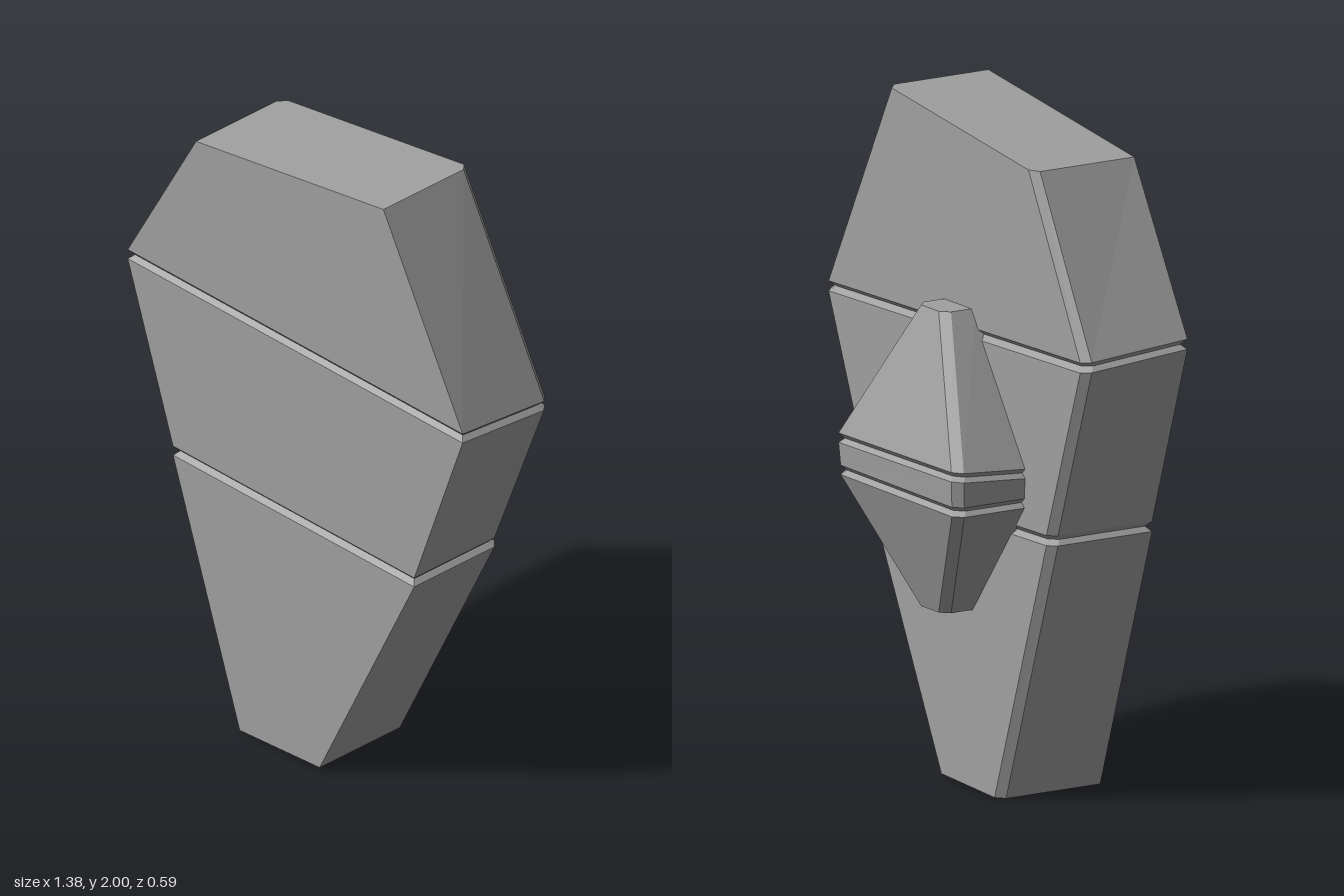
import * as THREE from 'three';

const stone = new THREE.MeshStandardMaterial({ color: 0xa0a0a0, flatShading: true });
stone.name = 'stone grey';

// Cross-section: a rectangle with its two back corners bevelled.
// yl / yr are the heights at the two ends, slope tilts it along z.
function ring({ xl, xr, yl, yr, zf, zb, c = 0.024, slope = 0 }, inset = 0, lift = 0) {
  const l = xl + inset, r = xr - inset, f = zf - inset, b = zb + inset;
  const corners = [[l, f], [r, f], [r, b + c], [r - c, b], [l + c, b], [l, b + c]];
  return corners.map(([x, z]) => {
    const t = (x - xl) / (xr - xl);
    return new THREE.Vector3(x, yl + (yr - yl) * t + slope * (z - zf) + lift, z);
  });
}

// Skin between successive cross-sections, with optional end caps
function loft(name, rings, capBottom, capTop) {
  const pos = [];
  const tri = (...v) => v.forEach(p => pos.push(p.x, p.y, p.z));
  for (let k = 0; k < rings.length - 1; k++) {
    const a = rings[k], b = rings[k + 1], n = a.length;
    for (let i = 0; i < n; i++) {
      const j = (i + 1) % n;
      tri(a[i], a[j], b[j]);
      tri(a[i], b[j], b[i]);
    }
  }
  const first = rings[0], last = rings[rings.length - 1];
  for (let i = 1; i < first.length - 1; i++) {
    if (capBottom) tri(first[0], first[i + 1], first[i]);
    if (capTop) tri(last[0], last[i], last[i + 1]);
  }
  const geo = new THREE.BufferGeometry();
  geo.setAttribute('position', new THREE.Float32BufferAttribute(pos, 3));
  geo.computeVertexNormals();
  const mesh = new THREE.Mesh(geo, stone);
  mesh.name = name;
  return mesh;
}

// V-shaped groove: lower lip, bottom of the V, upper lip
function groove(section, depth, width) {
  return {
    below: ring(section, 0, -width / 2),
    mid: ring(section, depth, 0),
    above: ring(section, 0, width / 2),
  };
}

// Three stacked pieces separated by two grooves
function stack(group, names, bottom, g1, g2, top) {
  group.add(
    loft(names[0], [bottom, g1.below, g1.mid], true, false),
    loft(names[1], [g1.mid, g1.above, g2.below, g2.mid], false, false),
    loft(names[2], [g2.mid, g2.above, top], false, true),
  );
  return group;
}

export function createModel() {
  const model = new THREE.Group();
  model.name = 'slabWithBackBoss';

  // Main slab
  const body = new THREE.Group();
  body.name = 'slab';
  const b = { zf: 0.293, zb: -0.055 };
  stack(body, ['lowerSlab', 'middleSlab', 'upperSlab'],
    ring({ ...b, xl: -0.23, xr: 0.1, yl: 0, yr: 0.015 }),
    groove({ ...b, xl: -0.505, xr: 0.49, yl: 0.822, yr: 0.802 }, 0.015, 0.03),
    groove({ ...b, zb: -0.06, xl: -0.692, xr: 0.69, yl: 1.402, yr: 1.37, slope: 0.08 }, 0.015, 0.03),
    ring({ ...b, xl: -0.41, xr: 0.363, yl: 1.9, yr: 2 }));

  // Faceted boss on the back
  const boss = new THREE.Group();
  boss.name = 'backBoss';
  const h = { zf: -0.045, c: 0.026 };
  stack(boss, ['lowerBoss', 'bossBand', 'upperBoss'],
    ring({ ...h, xl: -0.09, xr: 0.055, yl: 0.535, yr: 0.535, zb: -0.155 }),
    groove({ ...h, xl: -0.365, xr: 0.277, yl: 0.908, yr: 0.912, zb: -0.288 }, 0.014, 0.028),
    groove({ ...h, xl: -0.37, xr: 0.28, yl: 0.996, yr: 0.99, zb: -0.293, slope: -0.07 }, 0.014, 0.028),
    ring({ ...h, xl: -0.09, xr: 0.055, yl: 1.43, yr: 1.43, zb: -0.155 }));

  model.add(body, boss);
  return model;
}
